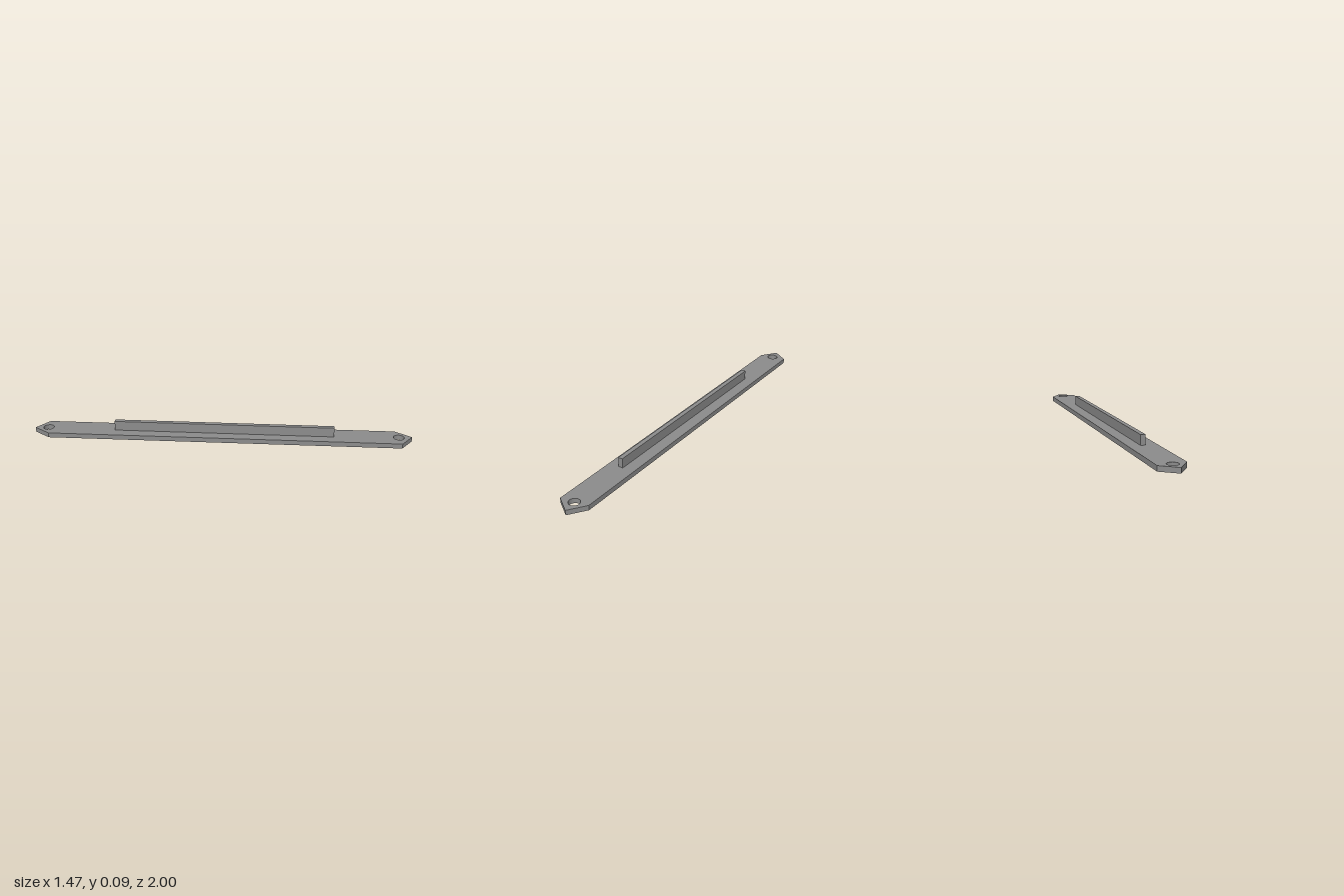
import * as THREE from 'three';

// Flat slab from an [x, z] outline, spanning y = bottom to y = top
function slab(name, outline, holes, bottom, top, material) {
  const shape = new THREE.Shape(outline.map(([x, z]) => new THREE.Vector2(x, z)));
  for (const [x, z, r] of holes) {
    shape.holes.push(new THREE.Path().absarc(x, z, r, 0, Math.PI * 2, true));
  }
  const geometry = new THREE.ExtrudeGeometry(shape, {
    depth: top - bottom, bevelEnabled: false, curveSegments: 24,
  });
  geometry.rotateX(Math.PI / 2).translate(0, top, 0);
  const mesh = new THREE.Mesh(geometry, material);
  mesh.name = name;
  return mesh;
}

export function createModel() {
  const model = new THREE.Group();
  model.name = 'diagonalBrace';
  const grey = new THREE.MeshStandardMaterial({ color: 0x8c8c8c });
  grey.name = 'grey';

  // Diagonal strap with squared corner ends and a bolt hole at each end
  const half = [[-0.735, -0.87], [-0.735, -1], [-0.608, -1]];
  const outline = [...half, ...half.map(([x, z]) => [-x, -z])];
  const holes = [-1, 1].map((s) => [s * 0.675, s * 0.936, 0.035]);
  model.add(slab('strapPlate', outline, holes, 0, 0.032, grey));

  // Upright stiffening rib along the strap
  const rib = [[-0.425, -0.563], [-0.4, -0.58], [0.437, 0.589], [0.413, 0.607]];
  model.add(slab('stiffeningRib', rib, [], 0.032, 0.095, grey));

  return model;
}
